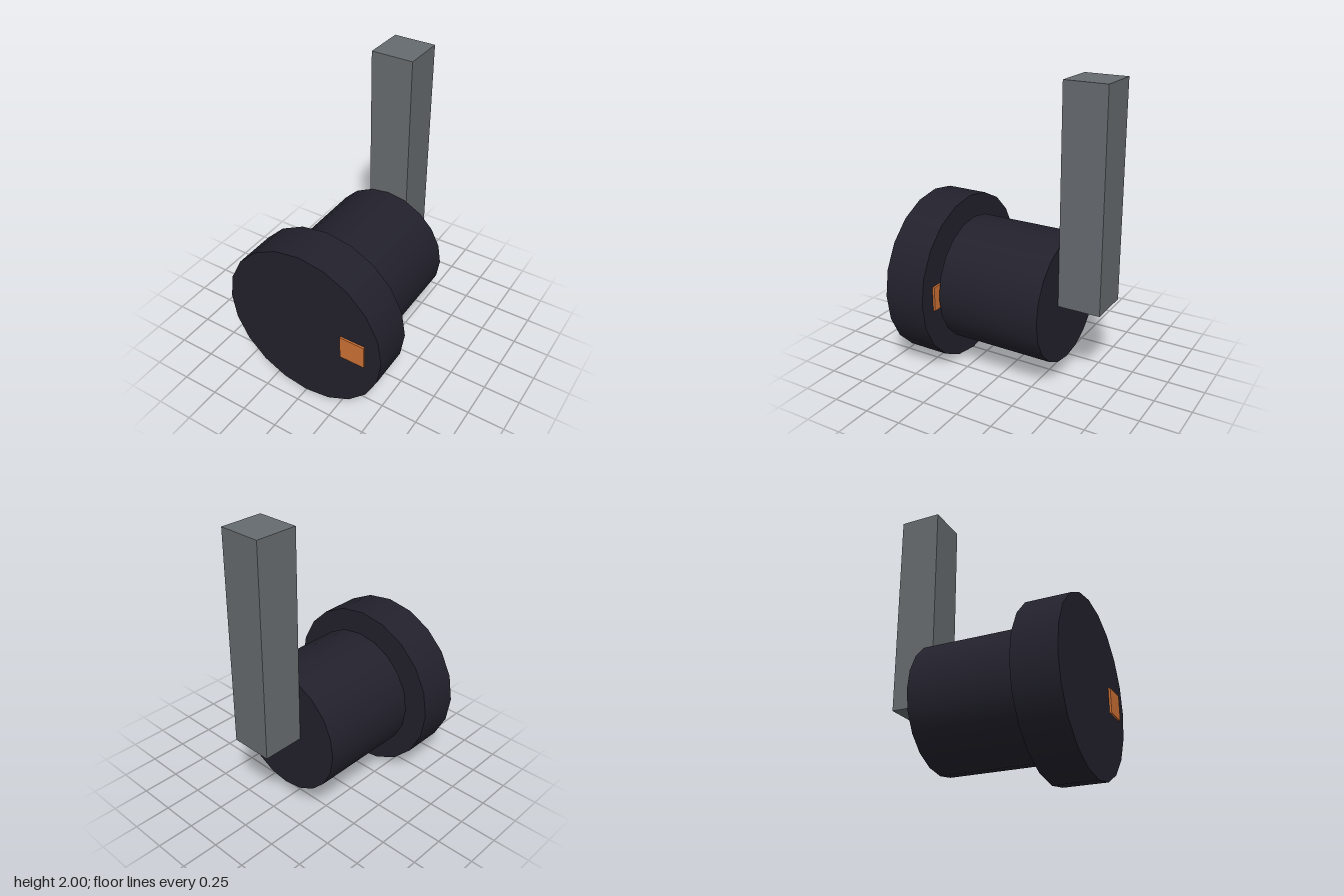
import * as THREE from 'three';

const material = (name, hex) => {
  const m = new THREE.MeshStandardMaterial({ color: hex });
  m.name = name;
  return m;
};

export function createModel() {
  const dark = material('dark', 0x22212c);
  const grey = material('grey', 0x666b6f);
  const orange = material('orange', 0xcc7035);
  const group = new THREE.Group();
  group.name = 'model';
  const axisY = 0.573;

  const add = (name, geometry, mat, x, y, z) => {
    const mesh = new THREE.Mesh(geometry, mat);
    mesh.name = name;
    mesh.position.set(x, y, z);
    group.add(mesh);
  };

  // 20-sided discs lying along z
  const disc = (name, radius, back, front) => {
    const g = new THREE.CylinderGeometry(radius, radius, front - back, 20);
    g.rotateX(Math.PI / 2);
    add(name, g, dark, 0, axisY, (back + front) / 2);
  };
  disc('frontDisc', 0.57, 0.364, 0.65);
  disc('hub', 0.427, -0.378, 0.335);

  // Upright bar behind the hub
  add('uprightBar', new THREE.BoxGeometry(0.285, 1.427, 0.285), grey, 0, 1.2865, -0.5205);

  // Peg running through the front disc, off centre
  add('peg', new THREE.BoxGeometry(0.171, 0.165, 0.314), orange, 0.37, axisY, 0.506);

  return group;
}
